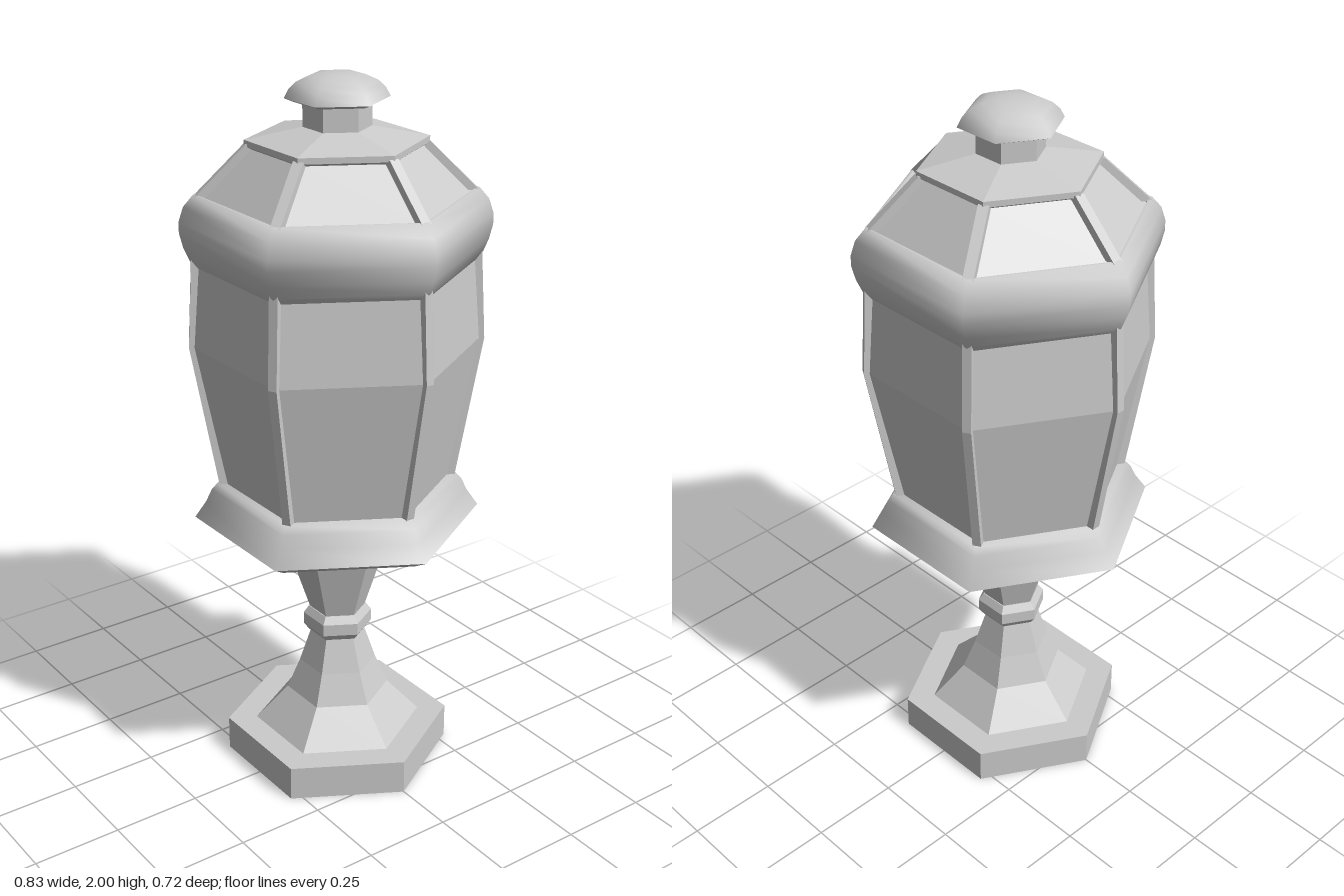
import * as THREE from 'three';
import { toCreasedNormals } from 'three/addons/utils/BufferGeometryUtils.js';

const SIDES = 6;
const flat = new THREE.MeshStandardMaterial({ color: 0xcccccc, flatShading: true });
const smooth = new THREE.MeshStandardMaterial({ color: 0xcccccc });

// Six-sided ring from a bottom-to-top profile of [corner radius, y], corners on the x axis
function hexTurned(name, profile, crease = 0) {
  const points = profile.map(([r, y]) => new THREE.Vector2(r, y));
  let geometry = new THREE.LatheGeometry(points, SIDES, Math.PI / 2);
  if (crease) geometry = toCreasedNormals(geometry, crease);
  const mesh = new THREE.Mesh(geometry, crease ? smooth : flat);
  mesh.name = name;
  return mesh;
}

// Six bars standing on the corners, following an outer path of [radius, y]
function cornerBars(name, path, width, depth) {
  const outline = [...path, ...path.slice().reverse().map(([r, y]) => [r - depth, y])];
  const shape = new THREE.Shape(outline.map(([r, y]) => new THREE.Vector2(r, y)));
  const geometry = new THREE.ExtrudeGeometry(shape, { depth: width, bevelEnabled: false });
  geometry.translate(0, 0, -width / 2);
  const group = new THREE.Group();
  group.name = name + 's';
  for (let i = 0; i < SIDES; i++) {
    const bar = new THREE.Mesh(geometry, flat);
    bar.name = name;
    bar.rotation.y = (i * Math.PI * 2) / SIDES;
    group.add(bar);
  }
  return group;
}

export function createModel() {
  const lantern = new THREE.Group();
  lantern.name = 'lantern';

  // Foot and stem
  lantern.add(hexTurned('foot', [[0, 0], [0.323, 0], [0.323, 0.1], [0, 0.1]]));
  lantern.add(hexTurned('lowerStem', [[0.24, 0.1], [0.147, 0.2], [0.11, 0.29], [0.077, 0.39]]));
  lantern.add(hexTurned('stemCollar', [
    [0.06, 0.39], [0.083, 0.39], [0.098, 0.41], [0.098, 0.445], [0.083, 0.466], [0.06, 0.466],
  ]));
  lantern.add(hexTurned('upperStem', [[0.078, 0.46], [0.17, 0.745]]));

  // Flared tray under the glass
  lantern.add(hexTurned('tray', [
    [0, 0.74], [0.352, 0.74], [0.4, 0.768], [0.368, 0.815], [0.352, 0.85], [0.335, 0.87], [0, 0.87],
  ], 1.1));

  // Glass body and its corner posts
  lantern.add(hexTurned('glass', [[0.313, 0.865], [0.392, 1.275], [0.372, 1.52]]));
  lantern.add(cornerBars('cornerPost', [[0.328, 0.86], [0.4, 1.275], [0.386, 1.52]], 0.024, 0.04));

  // Rounded rim with a bevelled underside
  lantern.add(hexTurned('rim', [
    [0.34, 1.515], [0.376, 1.497], [0.39, 1.515], [0.405, 1.55], [0.415, 1.59], [0.415, 1.62],
    [0.402, 1.66], [0.375, 1.692], [0.367, 1.692], [0.36, 1.675], [0.3, 1.675],
  ], 1.1));

  // Sloping roof with ribs
  lantern.add(hexTurned('roofPanels', [[0.36, 1.678], [0.228, 1.812]]));
  lantern.add(cornerBars('roofRib', [[0.372, 1.688], [0.238, 1.822]], 0.028, 0.03));
  lantern.add(hexTurned('roofCap', [
    [0, 1.808], [0.228, 1.808], [0.241, 1.816], [0.241, 1.832], [0.09, 1.862], [0, 1.862],
  ]));

  // Finial
  lantern.add(hexTurned('finialNeck', [[0.09, 1.85], [0.09, 1.94]]));
  lantern.add(hexTurned('finialKnob', [
    [0, 1.925], [0.115, 1.927], [0.137, 1.936], [0.125, 1.959], [0.105, 1.978], [0.072, 1.993],
    [0.035, 1.999], [0, 2],
  ], 1.1));

  return lantern;
}
